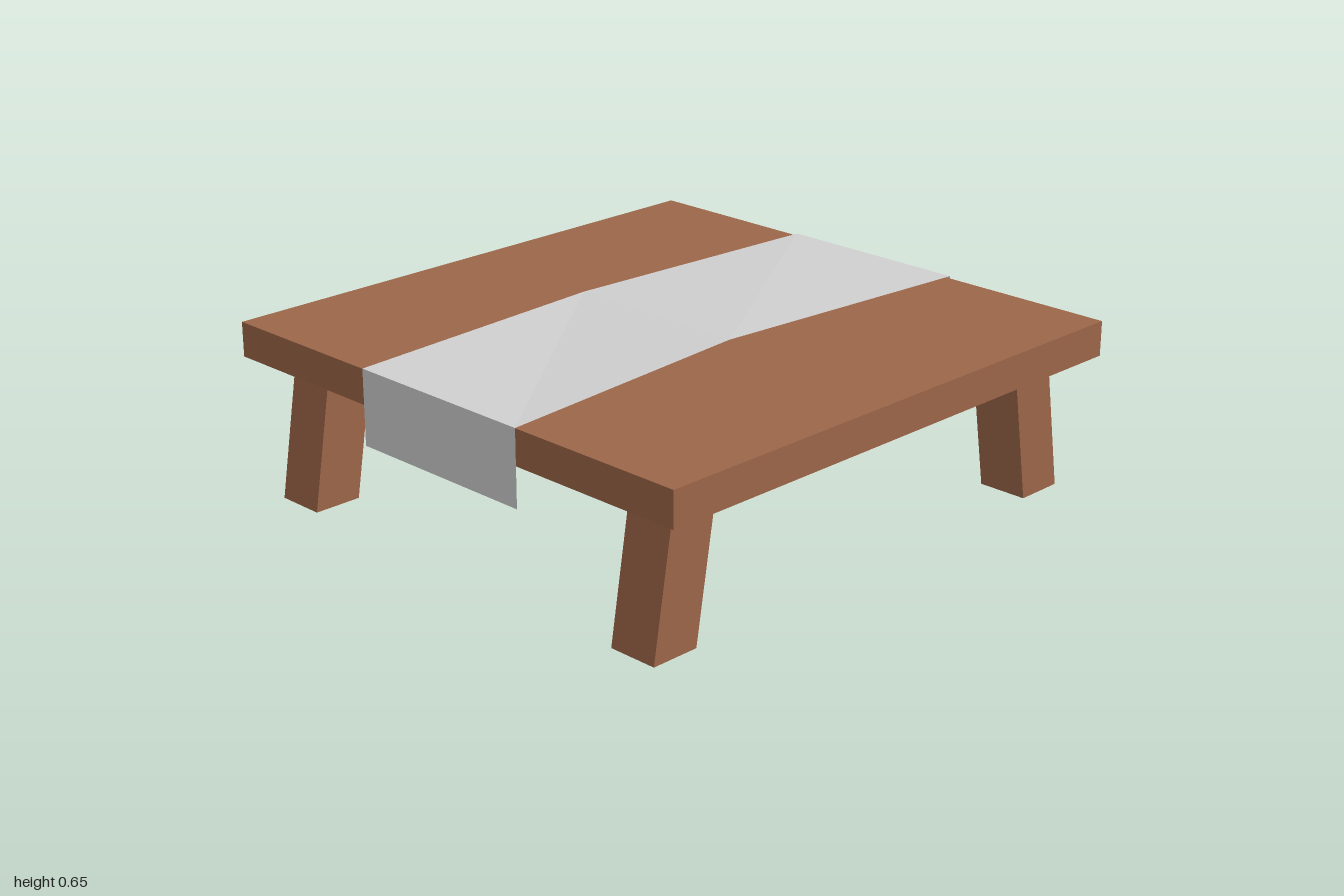
import * as THREE from 'three';

const wood = new THREE.MeshStandardMaterial({ color: 0x9c6648 });
wood.name = 'brown wood';
const cloth = new THREE.MeshStandardMaterial({ color: 0xd0d0d0, side: THREE.DoubleSide });
cloth.name = 'pale cloth';

const TOP = 0.6, UNDER = 0.48, SPLAY = 0.08;

// Square post whose foot is sheared outward along x
function makeLeg(sx, sz) {
  const geo = new THREE.BoxGeometry(0.174, UNDER, 0.176);
  const p = geo.attributes.position;
  for (let i = 0; i < p.count; i++) {
    if (p.getY(i) < 0) p.setX(i, p.getX(i) + sx * SPLAY);
  }
  geo.computeVertexNormals();
  const leg = new THREE.Mesh(geo, wood);
  leg.name = `${sz > 0 ? 'front' : 'back'}${sx > 0 ? 'Left' : 'Right'}Leg`;
  leg.position.set(sx * 0.785, UNDER / 2, sz * 0.785);
  return leg;
}

// Surface joining a front and a back edge, both running along +x
function makeStrip(front, back) {
  const tris = [];
  for (let i = 0; i < front.length - 1; i++) {
    tris.push(...front[i], ...front[i + 1], ...back[i + 1]);
    tris.push(...front[i], ...back[i + 1], ...back[i]);
  }
  const geo = new THREE.BufferGeometry();
  geo.setAttribute('position', new THREE.Float32BufferAttribute(tris, 3));
  geo.computeVertexNormals();
  return new THREE.Mesh(geo, cloth);
}

export function createModel() {
  const model = new THREE.Group();
  model.name = 'lowTable';

  const top = new THREE.Mesh(new THREE.BoxGeometry(1.985, TOP - UNDER, 1.985), wood);
  top.name = 'tableTop';
  top.position.y = (TOP + UNDER) / 2;
  model.add(top);

  for (const sx of [-1, 1]) for (const sz of [-1, 1]) model.add(makeLeg(sx, sz));

  // Runner: raised in a ridge at the front, flat and bowed at the back
  const runner = new THREE.Group();
  runner.name = 'tableRunner';
  const y = 0.605, hem = 0.348, zf = 0.352, zb = -0.355;
  const sheet = makeStrip(
    [[-1, y, zf], [-0.1, 0.65, zf], [1, y, zf]],
    [[-1, y, zb], [0, y, -0.418], [1, y, zb]]
  );
  sheet.name = 'runnerTop';
  const leftDrop = makeStrip([[1, y, zf], [1, hem, zf]], [[1, y, zb], [1, hem, zb]]);
  leftDrop.name = 'runnerLeftDrop';
  const rightDrop = makeStrip([[-1, hem, zf], [-1, y, zf]], [[-1, hem, zb], [-1, y, zb]]);
  rightDrop.name = 'runnerRightDrop';
  runner.add(sheet, leftDrop, rightDrop);
  model.add(runner);

  return model;
}
